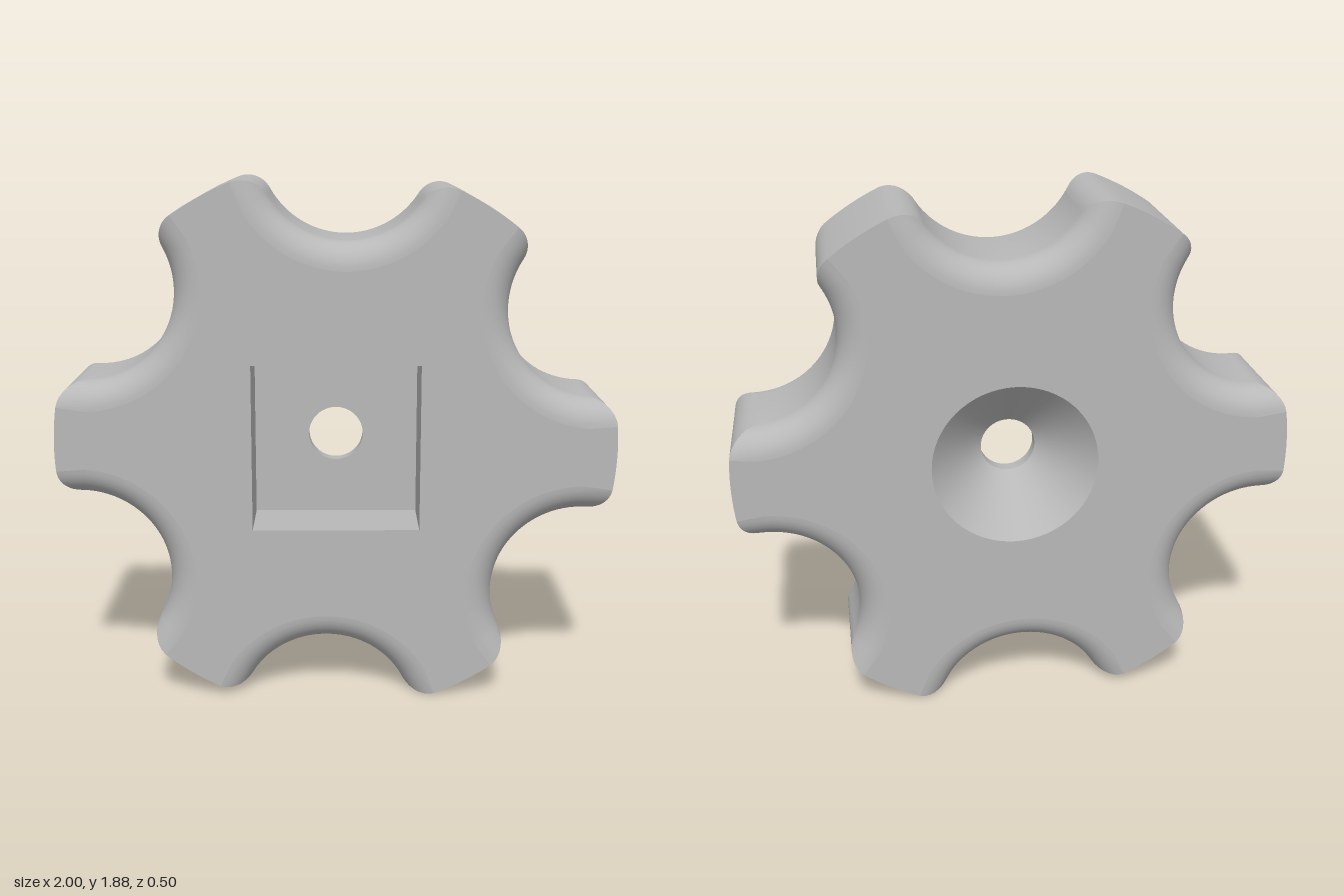
import * as THREE from 'three';
import { toCreasedNormals } from 'three/addons/utils/BufferGeometryUtils.js';

const CENTER_Y = 0.94, HALF = 0.25;      // hub height, half thickness
const SCALLOP_R = 0.32, SCALLOP_C = 1.05; // finger scallops and their distance from the hub
const ROUND = 0.1;                        // lobe corner and rim rounding
const TILT = -2 * Math.PI / 180;
const PI = Math.PI;

const lerp = THREE.MathUtils.lerp;
const S = new THREE.Vector2(SCALLOP_C * Math.cos(PI / 6), SCALLOP_C * Math.sin(PI / 6));
// Corner centre: touches the outer circle and the scallop
const cornerOff = Math.acos((SCALLOP_C ** 2 + (1 - ROUND) ** 2 - (SCALLOP_R + ROUND) ** 2) / (2 * SCALLOP_C * (1 - ROUND)));
const tipAngle = PI / 6 - cornerOff;
const C = new THREE.Vector2((1 - ROUND) * Math.cos(tipAngle), (1 - ROUND) * Math.sin(tipAngle));

// Half a lobe, from its tip to the middle of the scallop, with the scallop widened by d
function halfLobe(d) {
  const pts = [];
  const arc = (cx, cy, r, a0, a1, n, first) => {
    for (let i = first; i <= n; i++) {
      const a = lerp(a0, a1, i / n);
      pts.push(new THREE.Vector2(cx + r * Math.cos(a), cy + r * Math.sin(a)));
    }
  };
  arc(0, 0, 1, 0, tipAngle, 4, 0);
  const cornerEnd = Math.max(tipAngle, Math.asin(Math.max(0, 1 - d / ROUND)));
  arc(C.x, C.y, ROUND, tipAngle, cornerEnd, 8, 1);
  const start = Math.atan2(C.y - S.y, C.x - S.x) + 2 * PI;
  arc(S.x, S.y, SCALLOP_R + d, start, PI * 7 / 6, 16, 0);
  return pts;
}

// Closed six-lobe outline
function outline(d) {
  const half = halfLobe(d);
  const lobe = [
    ...half.slice(1).reverse().map(p => new THREE.Vector2(p.x, -p.y)),
    ...half.slice(0, -1),
  ];
  const pts = [];
  for (let k = 0; k < 6; k++) {
    for (const p of lobe) pts.push(p.clone().rotateAround(new THREE.Vector2(), TILT + k * PI / 3));
  }
  return pts;
}

// Rim wall lofted through outlines that widen the scallops towards both faces
function rimGeometry() {
  const STEPS = 10, layers = [];
  for (let i = -STEPS; i <= STEPS; i++) {
    if (i === 0) continue;
    const side = Math.sign(i);
    const a = (Math.abs(i) - 1) / (STEPS - 1) * PI / 2;
    const z = side * (HALF - ROUND + ROUND * Math.sin(a));
    layers.push(outline(ROUND * (1 - Math.cos(a))).map(p => [p.x, p.y, z]));
  }
  const n = layers[0].length, index = [];
  for (let l = 0; l < layers.length - 1; l++) {
    for (let i = 0; i < n; i++) {
      const j = (i + 1) % n, a = l * n + i, b = l * n + j;
      index.push(a, b, b + n, a, b + n, a + n);
    }
  }
  const g = new THREE.BufferGeometry();
  g.setAttribute('position', new THREE.Float32BufferAttribute(layers.flat(2), 3));
  g.setIndex(index);
  return toCreasedNormals(g, 0.55);
}

const squarePoints = h => [[-h, -h], [h, -h], [h, h], [-h, h]].map(([x, y]) => new THREE.Vector2(x, y));

// Flat face with one opening
function plate(points, hole, z) {
  const shape = new THREE.Shape(points);
  shape.holes.push(hole);
  return new THREE.ShapeGeometry(shape, 32).translate(0, 0, z);
}
const roundHole = r => new THREE.Path().absarc(0, 0, r, 0, 2 * PI, true);

export function createModel() {
  const model = new THREE.Group();
  model.name = 'starKnob';
  const knob = new THREE.Group();
  knob.name = 'knob';
  knob.position.y = CENTER_Y;
  model.add(knob);

  const grey = new THREE.MeshStandardMaterial({ color: 0xb8b8b8 });
  grey.name = 'grey';
  const add = (name, geometry) => {
    const mesh = new THREE.Mesh(geometry, grey);
    mesh.name = name;
    knob.add(mesh);
    return mesh;
  };

  add('scallopedRim', rimGeometry());

  // Front face with a square opening, back face with a round one
  const faceOutline = outline(ROUND);
  add('frontFace', plate(faceOutline, new THREE.Path(squarePoints(0.3)), HALF));
  const back = plate(faceOutline, roundHole(0.3), -HALF);
  back.setIndex(Array.from(back.index.array).reverse());
  back.computeVertexNormals();
  add('backFace', back);

  // Square pocket
  add('pocketFloor', plate(squarePoints(0.3), roundHole(0.1), 0));
  for (let k = 0; k < 4; k++) {
    const wall = new THREE.PlaneGeometry(HALF, 0.6)
      .rotateY(-PI / 2).translate(0.3, 0, HALF / 2).rotateZ(k * PI / 2);
    add('pocketWall', wall);
  }

  // Through hole and countersink, profiles run front to back so they face inward
  const lathe = pts => new THREE.LatheGeometry(pts.map(([r, z]) => new THREE.Vector2(r, z)), 64).rotateX(PI / 2);
  add('throughHole', lathe([[0.1, 0], [0.1, -0.05]]));
  add('countersink', lathe([[0.1, -0.05], [0.3, -HALF]]));

  return model;
}
